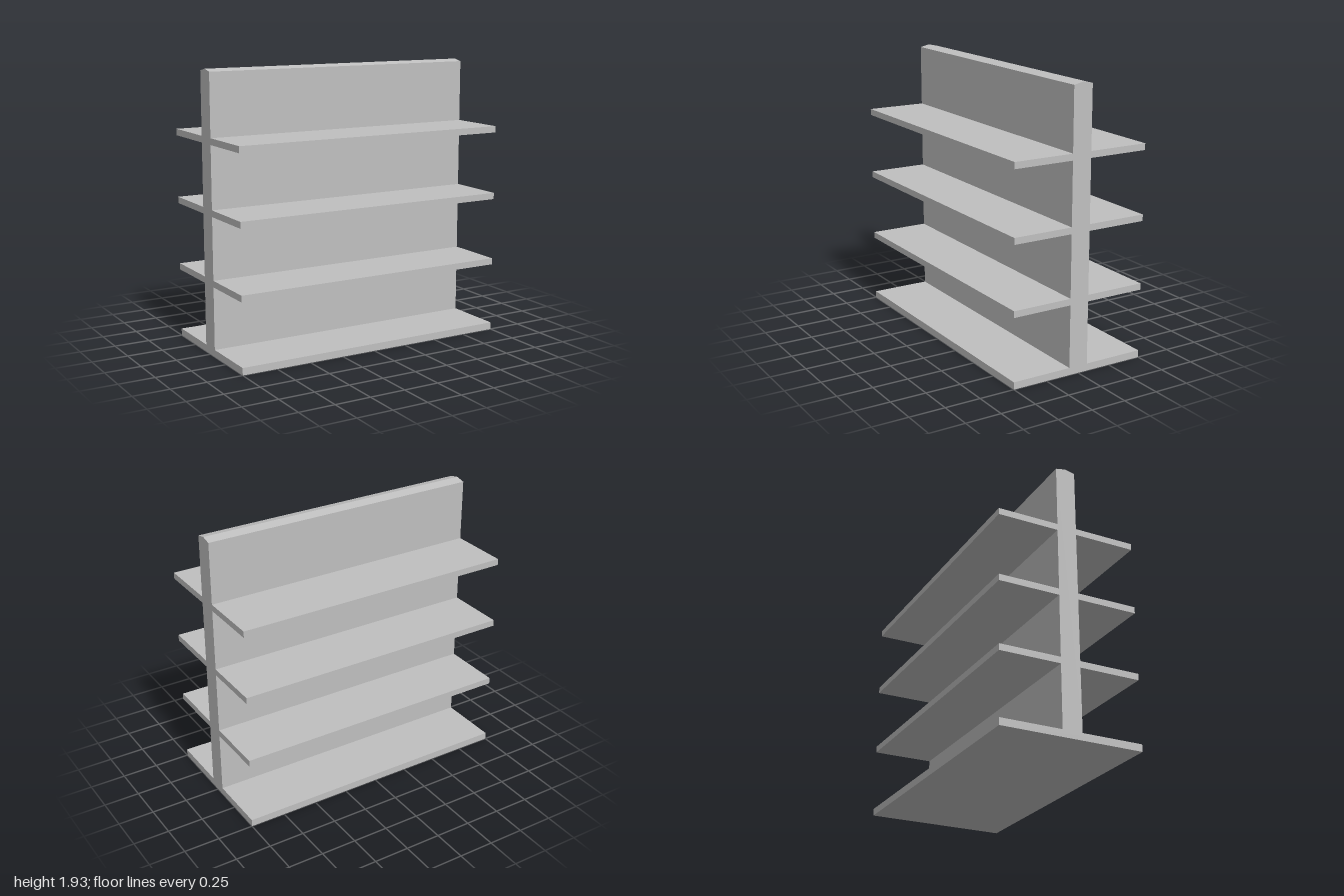
import * as THREE from 'three';

export function createModel() {
  const model = new THREE.Group();
  model.name = 'doubleSidedShelf';
  const grey = new THREE.MeshStandardMaterial({ color: 0xc0c0c0 });
  grey.name = 'grey';

  const length = 2;
  const halfDepth = 0.5;
  const halfSpine = 0.07;
  const baseTop = 0.05;

  function add(name, geometry, y = 0, z = 0) {
    const mesh = new THREE.Mesh(geometry, grey);
    mesh.name = name;
    mesh.position.set(0, y, z);
    model.add(mesh);
  }

  // Base plate
  add('base', new THREE.BoxGeometry(length, baseTop, 2 * halfDepth), baseTop / 2);

  // Central wall with a shallow ridged top
  const profile = new THREE.Shape([
    new THREE.Vector2(-halfSpine, baseTop),
    new THREE.Vector2(halfSpine, baseTop),
    new THREE.Vector2(halfSpine, 1.92),
    new THREE.Vector2(0, 1.935),
    new THREE.Vector2(-halfSpine, 1.92),
  ]);
  const wall = new THREE.ExtrudeGeometry(profile, { depth: length, bevelEnabled: false });
  wall.translate(0, 0, -length / 2).rotateY(Math.PI / 2);
  add('centralWall', wall);

  // Three shelves on each side of the wall
  const shelfDepth = halfDepth - halfSpine;
  const shelf = new THREE.BoxGeometry(length, 0.045, shelfDepth);
  for (const y of [0.508, 0.987, 1.466]) {
    for (const side of [1, -1]) {
      add(side > 0 ? 'frontShelf' : 'backShelf', shelf, y, side * (halfSpine + shelfDepth / 2));
    }
  }

  return model;
}
